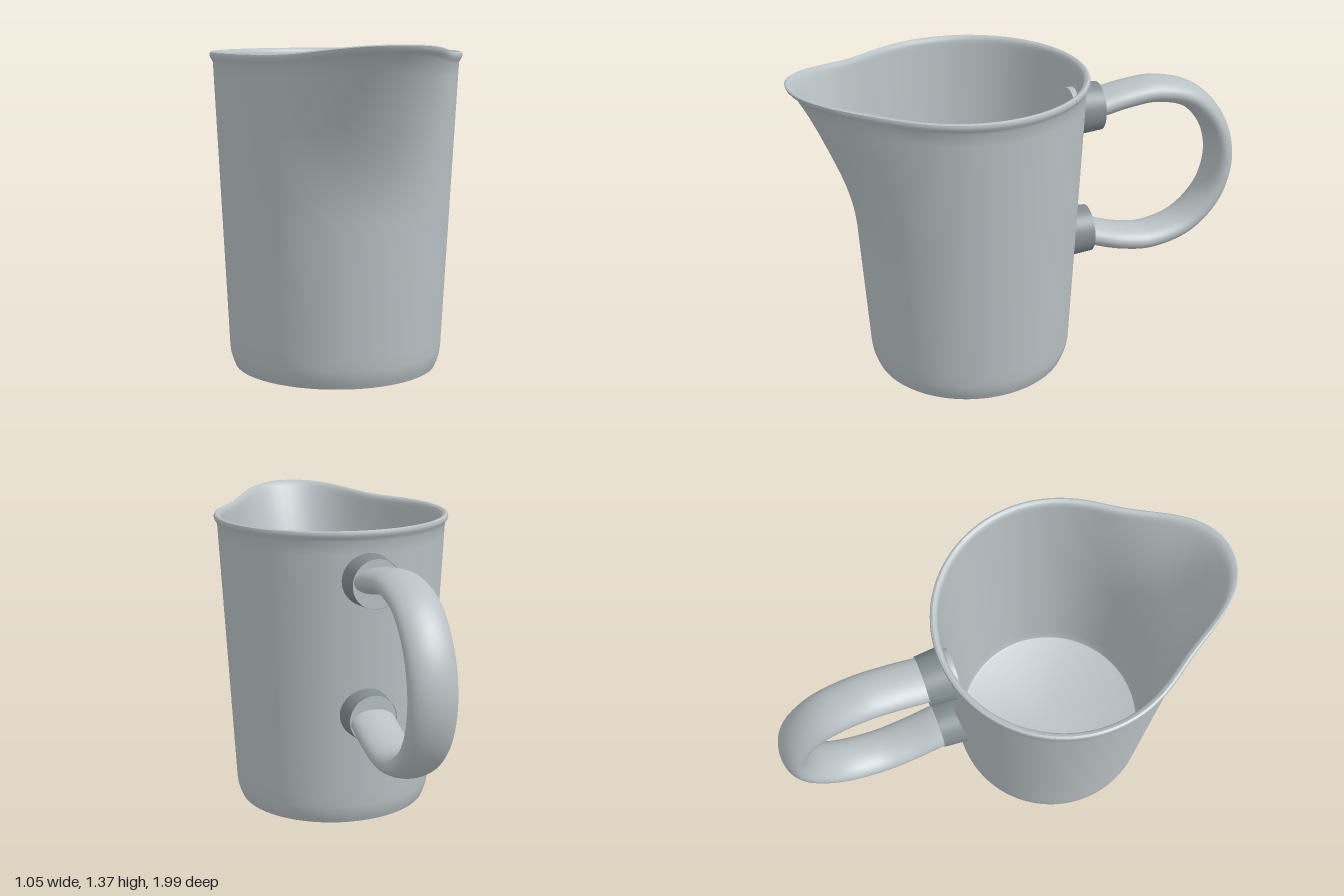
import * as THREE from 'three';
import { toCreasedNormals } from 'three/addons/utils/BufferGeometryUtils.js';

const CENTRE_Z = 0.26; // axis of the cup

export function createModel() {
  const steel = new THREE.MeshStandardMaterial({ color: 0xb9c1c4 });
  steel.name = 'brushed steel';
  const darkSteel = new THREE.MeshStandardMaterial({ color: 0x828c90, side: THREE.DoubleSide });
  darkSteel.name = 'dark steel';

  const jug = new THREE.Group();
  jug.name = 'milkJug';
  const add = (name, geometry, material, x = 0, y = 0, z = 0) => {
    const mesh = new THREE.Mesh(geometry, material);
    mesh.name = name;
    mesh.position.set(x, y, z);
    jug.add(mesh);
    return mesh;
  };

  // Cup profile: base, outer wall, rolled rim, inner wall, floor
  const profile = [[0, 0], [0.428, 0], [0.432, 0.01], [0.437, 0.022], [0.446, 0.05], [0.45, 0.08]];
  const rows = 22;
  for (let i = 1; i <= rows; i++) {
    const t = i / rows;
    profile.push([0.45 + 0.06 * t, 0.08 + 1.2 * t]);
  }
  profile.push([0.516, 1.292], [0.522, 1.302], [0.524, 1.312], [0.521, 1.321], [0.513, 1.325],
    [0.503, 1.322], [0.496, 1.314], [0.493, 1.3]);
  for (let i = rows; i >= 0; i--) {
    const t = i / rows;
    profile.push([0.432 + 0.06 * t, 0.06 + 1.22 * t]);
  }
  profile.push([0.428, 0.045], [0.418, 0.04], [0, 0.04]);

  const cup = new THREE.LatheGeometry(profile.map(p => new THREE.Vector2(...p)), 112, Math.PI);

  // Pull the front of the upper wall out and up into the spout
  const pos = cup.attributes.position;
  for (let i = 0; i < pos.count; i++) {
    const x = pos.getX(i), y = pos.getY(i), z = pos.getZ(i);
    const angle = Math.abs(Math.atan2(x, z));
    const lobe = Math.exp(-Math.pow(angle / 0.48, 2.2));
    const rise = Math.max(0, (y - 0.68) / 0.64);
    const out = 0.214 * Math.pow(rise, 1.8) * lobe;
    const r = Math.hypot(x, z);
    const k = r > 0 ? (r + out) / r : 1;
    const lift = 0.043 * lobe * THREE.MathUtils.smoothstep(y, 1.0, 1.32);
    pos.setXYZ(i, x * k, y + lift, z * k);
  }
  add('cup', toCreasedNormals(cup, 0.75), steel, 0, 0, CENTRE_Z);

  // Tapered collars joining the handle to the cup, each with a light end plate
  for (const [name, y, inner, outer] of [['upper', 1.115, -0.225, -0.34], ['lower', 0.52, -0.185, -0.305]]) {
    const collar = new THREE.CylinderGeometry(0.116, 0.106, inner - outer, 48, 1, true);
    collar.rotateX(Math.PI / 2);
    add(name + 'Collar', collar, darkSteel, 0, y, (inner + outer) / 2);
    const plate = new THREE.CircleGeometry(0.105, 48);
    plate.rotateY(Math.PI);
    add(name + 'CollarPlate', plate, steel, 0, y, outer + 0.003);
  }

  // Round fixing plate on the inside of the cup
  const fixing = new THREE.CylinderGeometry(0.1, 0.1, 0.03, 48);
  fixing.rotateX(Math.PI / 2 + 0.05);
  add('innerFixingPlate', fixing, steel, 0, 1.11, -0.222);

  // Looped handle, wider than it is thick
  const path = new THREE.CatmullRomCurve3([
    [1.115, -0.26], [1.13, -0.34], [1.153, -0.45], [1.165, -0.6], [1.115, -0.77], [0.975, -0.895],
    [0.8, -0.94], [0.63, -0.9], [0.495, -0.775], [0.442, -0.6], [0.46, -0.45], [0.505, -0.31], [0.53, -0.23],
  ].map(([y, z]) => new THREE.Vector3(0, y, z)));
  const handle = new THREE.TubeGeometry(path, 96, 0.055, 32);
  handle.scale(0.1 / 0.055, 1, 1);
  add('handle', handle, steel);

  return jug;
}
